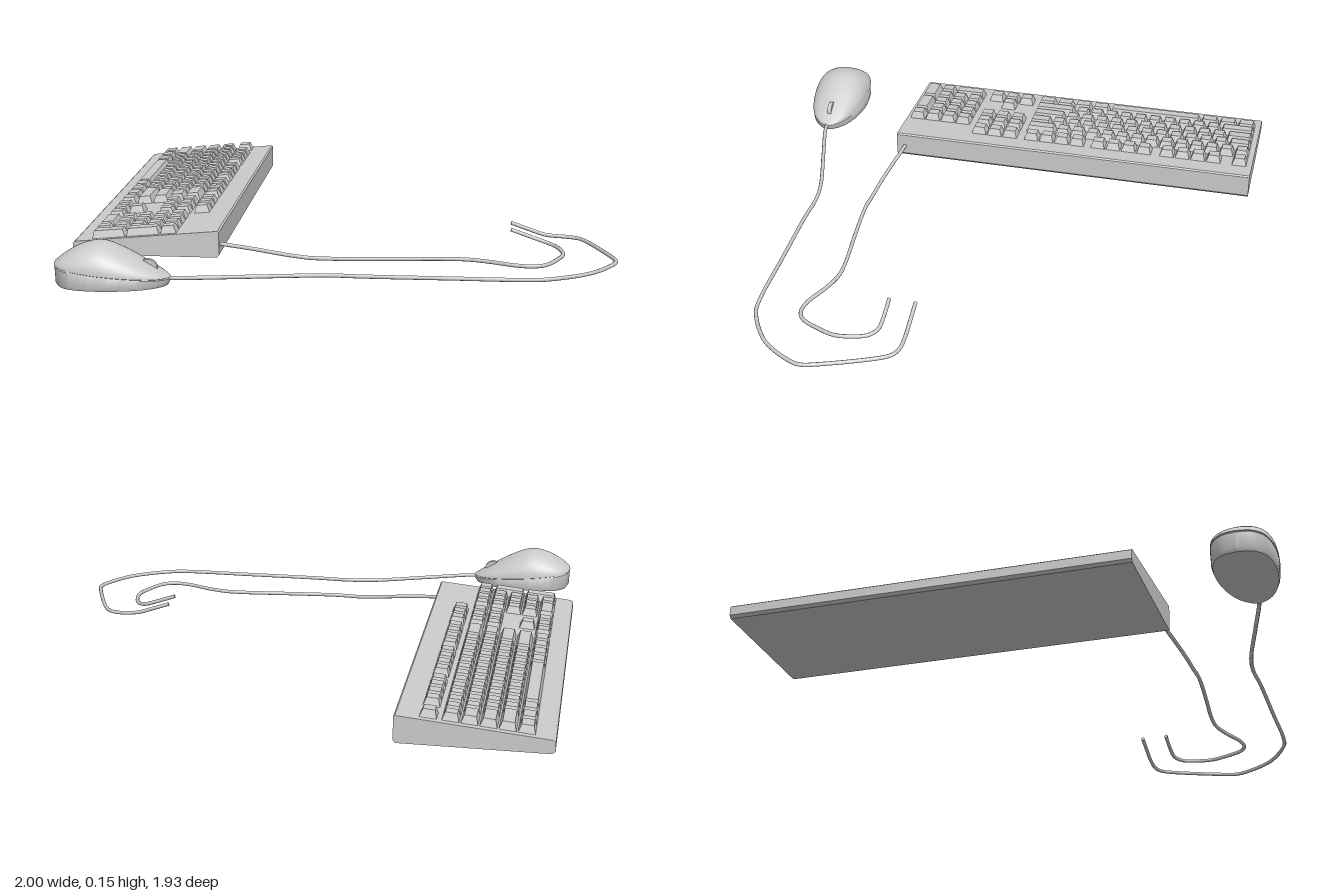
import * as THREE from 'three';
import { mergeGeometries, toCreasedNormals } from 'three/addons/utils/BufferGeometryUtils.js';

const grey = new THREE.MeshStandardMaterial({ color: 0xcccccc });
const greyDouble = new THREE.MeshStandardMaterial({ color: 0xcccccc, side: THREE.DoubleSide });

function add(parent, name, geometry, material = grey) {
  const mesh = new THREE.Mesh(geometry, material);
  mesh.name = name;
  parent.add(mesh);
  return mesh;
}

const SLOPE = Math.atan(0.052 / 0.545); // tilt of the keyboard deck
const KEY_H = 0.029;

// Tapered keycap filling the cell x0..x0+w, z0..z0+d
function keycap(x0, z0, w, d) {
  const gap = 0.005, inset = 0.009;
  const g = new THREE.BoxGeometry(w - gap, KEY_H, d - gap);
  const p = g.attributes.position;
  for (let i = 0; i < p.count; i++) {
    if (p.getY(i) > 0) {
      p.setX(i, p.getX(i) - Math.sign(p.getX(i)) * inset);
      p.setZ(i, p.getZ(i) - Math.sign(p.getZ(i)) * inset);
    }
  }
  g.translate(x0 + w / 2, KEY_H / 2 - 0.001, z0 + d / 2);
  const flat = g.toNonIndexed();
  flat.computeVertexNormals();
  return flat;
}

function makeKeyboard() {
  const keyboard = new THREE.Group();
  keyboard.name = 'keyboard';

  // Wedge-shaped case, low along the typing edge
  const profile = new THREE.Shape([
    [-0.99, 0], [-0.463, 0], [-0.455, 0.01], [-0.455, 0.095], [-0.461, 0.1],
    [-0.99, 0.05], [-1, 0.043], [-1, 0.01],
  ].map(([x, y]) => new THREE.Vector2(x, y)));
  const body = new THREE.ExtrudeGeometry(profile, { depth: 1.47, bevelEnabled: false });
  body.translate(0, 0, -0.97);
  add(keyboard, 'keyboardCase', body);

  // Keys lie on the tilted deck; local x runs from the typing edge backward
  const deck = new THREE.Group();
  deck.name = 'keys';
  deck.position.set(-1, 0.049, 0);
  deck.rotation.z = SLOPE;
  keyboard.add(deck);

  const px = 0.0643, rowX = (r) => 0.067 + r * px;
  const farRowX = 0.4;
  const run = (x, z, pitch, widths) => widths.map((n) => {
    const key = keycap(x, z, px, n * pitch);
    z += n * pitch;
    return key;
  });
  const ones = (n) => Array(n).fill(1);

  // Main block, from the space bar row to the number row
  const rows = [
    [1.25, 1.25, 1.25, 6.25, 1.25, 1.25, 1.25, 1.25],
    [2.25, ...ones(10), 2.75],
    [1.75, ...ones(11), 2.25],
    [1.5, ...ones(12), 1.5],
    [...ones(13), 2],
  ];
  const main = rows.flatMap((widths, r) => run(rowX(r), -0.95, 0.0623, widths));
  add(deck, 'mainKeys', mergeGeometries(main));

  // Far row: a single key, then three groups of four
  const farKeys = [[-0.95, 1], [-0.845, 4], [-0.558, 4], [-0.278, 4]]
    .flatMap(([z, n]) => run(farRowX, z, 0.064, ones(n)));
  add(deck, 'farRowKeys', mergeGeometries(farKeys));

  // Navigation and arrow keys
  const nav = [farRowX, rowX(4), rowX(3), rowX(0)].flatMap((x) => run(x, 0.005, 0.0655, ones(3)));
  nav.push(...run(rowX(1), 0.0705, 0.0655, [1]));
  add(deck, 'navigationKeys', mergeGeometries(nav));

  // Number pad with two double-height keys in its last column
  const pad = run(rowX(0), 0.225, 0.0655, [2, 1]);
  for (let r = 1; r < 5; r++) pad.push(...run(rowX(r), 0.225, 0.0655, ones(3)));
  const lastZ = 0.225 + 3 * 0.0655;
  pad.push(keycap(rowX(0), lastZ, 2 * px, 0.0655), keycap(rowX(2), lastZ, 2 * px, 0.0655),
    keycap(rowX(4), lastZ, px, 0.0655));
  add(deck, 'numberPadKeys', mergeGeometries(pad));
  return keyboard;
}

// Joins equal-length cross-sections into one surface
function loft(sections) {
  const n = sections[0].length, index = [];
  for (let i = 0; i < sections.length - 1; i++) {
    for (let j = 0; j < n - 1; j++) {
      const a = i * n + j, b = a + n;
      index.push(a, a + 1, b, b, a + 1, b + 1);
    }
  }
  const g = new THREE.BufferGeometry();
  g.setAttribute('position', new THREE.Float32BufferAttribute(sections.flat(2), 3));
  g.setIndex(index);
  g.computeVertexNormals();
  return g;
}

function makeMouse() {
  const mouse = new THREE.Group();
  mouse.name = 'mouse';
  const cz = 0.848, cx = -0.77;

  // Stations: x, half width, crown height
  const spine = new THREE.CatmullRomCurve3([
    [-0.974, 0, 0.077], [-0.965, 0.05, 0.086], [-0.933, 0.088, 0.11], [-0.88, 0.107, 0.139],
    [-0.81, 0.113, 0.154], [-0.74, 0.107, 0.131], [-0.67, 0.09, 0.093], [-0.61, 0.061, 0.058],
    [-0.575, 0.025, 0.036], [-0.565, 0, 0.031],
  ].map((p) => new THREE.Vector3(...p)));
  const stations = spine.getPoints(48);
  const seam = (x) => THREE.MathUtils.mapLinear(x, -0.974, -0.565, 0.074, 0.029);

  // Domed upper shell
  const shell = stations.map(({ x, y: w, z: h }) => {
    const s = seam(x);
    return Array.from({ length: 25 }, (_, j) => {
      const a = Math.PI * j / 24;
      return [x, s + Math.max(h - s, 0) * Math.sin(a), cz - w * Math.cos(a)];
    });
  });
  add(mouse, 'mouseShell', loft(shell), greyDouble);

  // Lower body: sides from the seam inward to a flat underside, with a fine seam groove
  const base = stations.map(({ x, y: w }) => {
    const s = seam(x);
    const half = [[s, 1], [s - 0.002, 0.975], [s - 0.005, 0.99], [0.012, 0.98], [0, 0.94]];
    const at = ([y, k], side) => [cx + (x - cx) * k, y, cz + side * w * k];
    return [...half.map((p) => at(p, 1)), ...half.slice().reverse().map((p) => at(p, -1))];
  });
  add(mouse, 'mouseBase', toCreasedNormals(loft(base), 0.6), greyDouble);

  // Scroll wheel set into the sloping front
  const wheel = new THREE.CylinderGeometry(0.034, 0.034, 0.016, 24);
  wheel.rotateX(Math.PI / 2);
  add(mouse, 'scrollWheel', wheel).position.set(-0.645, 0.058, cz);
  return mouse;
}

// Thin cable through [x, y, z] points, closed at both ends
function makeCable(name, parent, points) {
  const path = new THREE.CatmullRomCurve3(points.map((p) => new THREE.Vector3(...p)));
  add(parent, name, new THREE.TubeGeometry(path, 120, 0.0075, 8), greyDouble);
  for (const [t, flip] of [[0, -1], [1, 1]]) {
    const cap = add(parent, name + 'End', new THREE.CircleGeometry(0.0075, 8));
    cap.position.copy(path.getPointAt(t));
    cap.lookAt(cap.position.clone().addScaledVector(path.getTangentAt(t), flip));
  }
}

export function createModel() {
  const model = new THREE.Group();
  model.name = 'keyboardAndMouse';
  model.add(makeKeyboard(), makeMouse());

  const y = 0.01;
  makeCable('keyboardCable', model, [
    [-0.47, 0.045, 0.464], [-0.33, 0.032, 0.483], [-0.2, 0.017, 0.5], [-0.12, y, 0.506],
    [-0.02, y, 0.51], [0.2, y, 0.492], [0.36, y, 0.476], [0.45, y, 0.476], [0.53, y, 0.497],
    [0.63, y, 0.538], [0.69, y, 0.545], [0.735, y, 0.525], [0.785, y, 0.435], [0.802, y, 0.38],
    [0.795, y, 0.32], [0.775, y, 0.265], [0.74, 0.016, 0.236], [0.69, 0.032, 0.23], [0.61, 0.06, 0.23],
  ]);
  makeCable('mouseCable', model, [
    [-0.6, 0.024, 0.85], [-0.54, 0.023, 0.843], [-0.36, 0.017, 0.795], [-0.13, y, 0.734],
    [-0.02, y, 0.721], [0.1, y, 0.724], [0.4, y, 0.72], [0.66, y, 0.716], [0.735, y, 0.704],
    [0.89, y, 0.616], [0.975, y, 0.5], [0.991, y, 0.45], [0.975, y, 0.39], [0.89, y, 0.185],
    [0.865, y, 0.15], [0.825, y, 0.132], [0.74, 0.016, 0.13], [0.69, 0.032, 0.13], [0.61, 0.06, 0.13],
  ]);
  return model;
}
